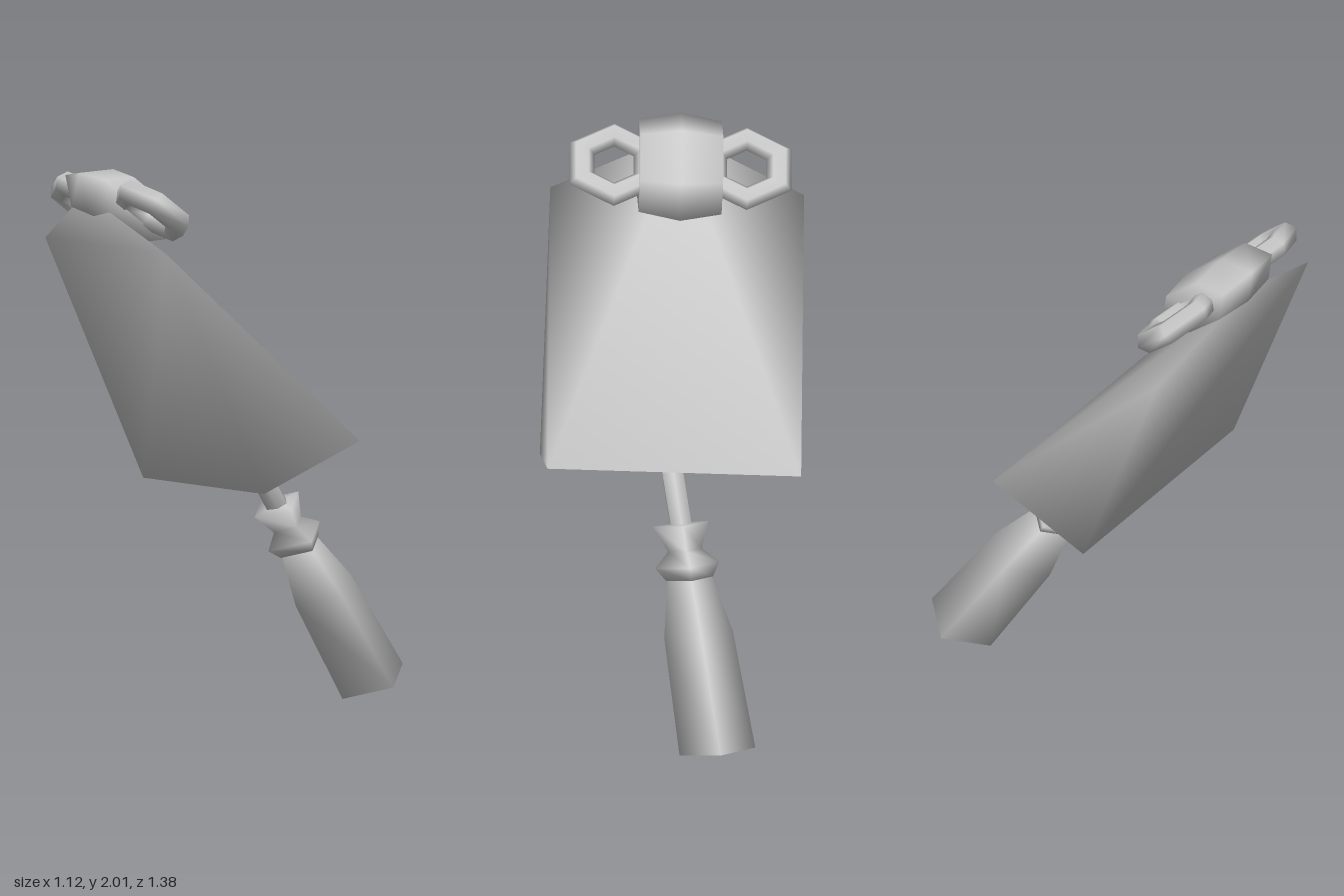
import * as THREE from 'three';

const material = new THREE.MeshStandardMaterial({ color: 0xcccccc });

function part(name, geometry) {
  const mesh = new THREE.Mesh(geometry, material);
  mesh.name = name;
  return mesh;
}

const lathe = (points, sides) =>
  new THREE.LatheGeometry(points.map(([r, y]) => new THREE.Vector2(r, y)), sides);

// Wedge with a gabled front, a flat base and a back that leans to the peak
function bodyGeometry(halfWidth, halfDepth, eaves, peak) {
  const w = halfWidth, d = halfDepth;
  const g = new THREE.BufferGeometry();
  g.setAttribute('position', new THREE.Float32BufferAttribute([
    -w, 0, d, w, 0, d, w, 0, -d, -w, 0, -d,   // base: 0-3
    -w, eaves, d, w, eaves, d, 0, peak, d,    // gable: 4-6
  ], 3));
  g.setIndex([
    0, 1, 5, 0, 5, 4, 4, 5, 6,   // front
    1, 2, 5, 2, 6, 5,            // +x side
    0, 4, 3, 3, 4, 6,            // -x side
    2, 3, 6,                     // sloping back
    0, 3, 2, 0, 2, 1,            // base
  ]);
  g.computeVertexNormals();
  return g;
}

export function createModel() {
  const model = new THREE.Group();
  model.name = 'bell';

  // Tilted frame of the bell, origin in the middle of its base
  const x = new THREE.Vector3(0.969, 0.06, 0.24).normalize();
  const y = new THREE.Vector3(-0.146, 0.922, 0.36);
  const z = new THREE.Vector3().crossVectors(x, y).normalize();
  y.crossVectors(z, x);
  const bell = new THREE.Group();
  bell.name = 'tiltedBell';
  bell.quaternion.setFromRotationMatrix(new THREE.Matrix4().makeBasis(x, y, z));
  bell.position.set(0.075, 0.9225, 0.025);
  bell.add(part('body', bodyGeometry(0.459, 0.215, 0.97, 1.18)));
  model.add(bell);

  // Flattened six-sided barrel at the peak with a ring at each end
  const mount = new THREE.Group();
  mount.name = 'mount';
  mount.position.set(0, 1.073, 0.103);
  mount.rotation.x = -1.076;
  const barrel = lathe([[0, -0.15], [0.18, -0.15], [0.21, 0], [0.18, 0.15], [0, 0.15]], 6);
  barrel.rotateZ(-Math.PI / 2).scale(1, 0.5, 1);
  mount.add(part('barrel', barrel));
  for (const side of [-1, 1]) {
    const ring = new THREE.TorusGeometry(0.115, 0.045, 6, 6);
    ring.rotateZ(Math.PI / 6).rotateX(Math.PI / 2).scale(1.17, 1, 1);
    const mesh = part(side > 0 ? 'leftRing' : 'rightRing', ring);
    mesh.position.x = side * 0.24;
    mount.add(mesh);
  }
  bell.add(mount);

  // Slanted frame of the handle: sections stay level while the axis leans
  const slant = new THREE.Matrix4().makeBasis(
    new THREE.Vector3(0.986, -0.05, 0.16),
    new THREE.Vector3(0, 0.83, 0.565),
    new THREE.Vector3(-0.177, -0.404, 0.904),
  ).setPosition(0.073, 0.0575, -0.568);

  const profiles = {
    handle: [[[0, 0], [0.138, 0], [0.125, 0.427], [0.08, 0.63], [0, 0.63]], 4],
    collar: [[[0, 0.62], [0.085, 0.63], [0.117, 0.68], [0.062, 0.735], [0.1, 0.83], [0, 0.83]], 4],
    rod: [[[0, 0.8], [0.043, 0.8], [0.043, 1.1], [0, 1.1]], 6],
  };
  for (const [name, [points, sides]] of Object.entries(profiles)) {
    model.add(part(name, lathe(points, sides).applyMatrix4(slant)));
  }
  return model;
}
